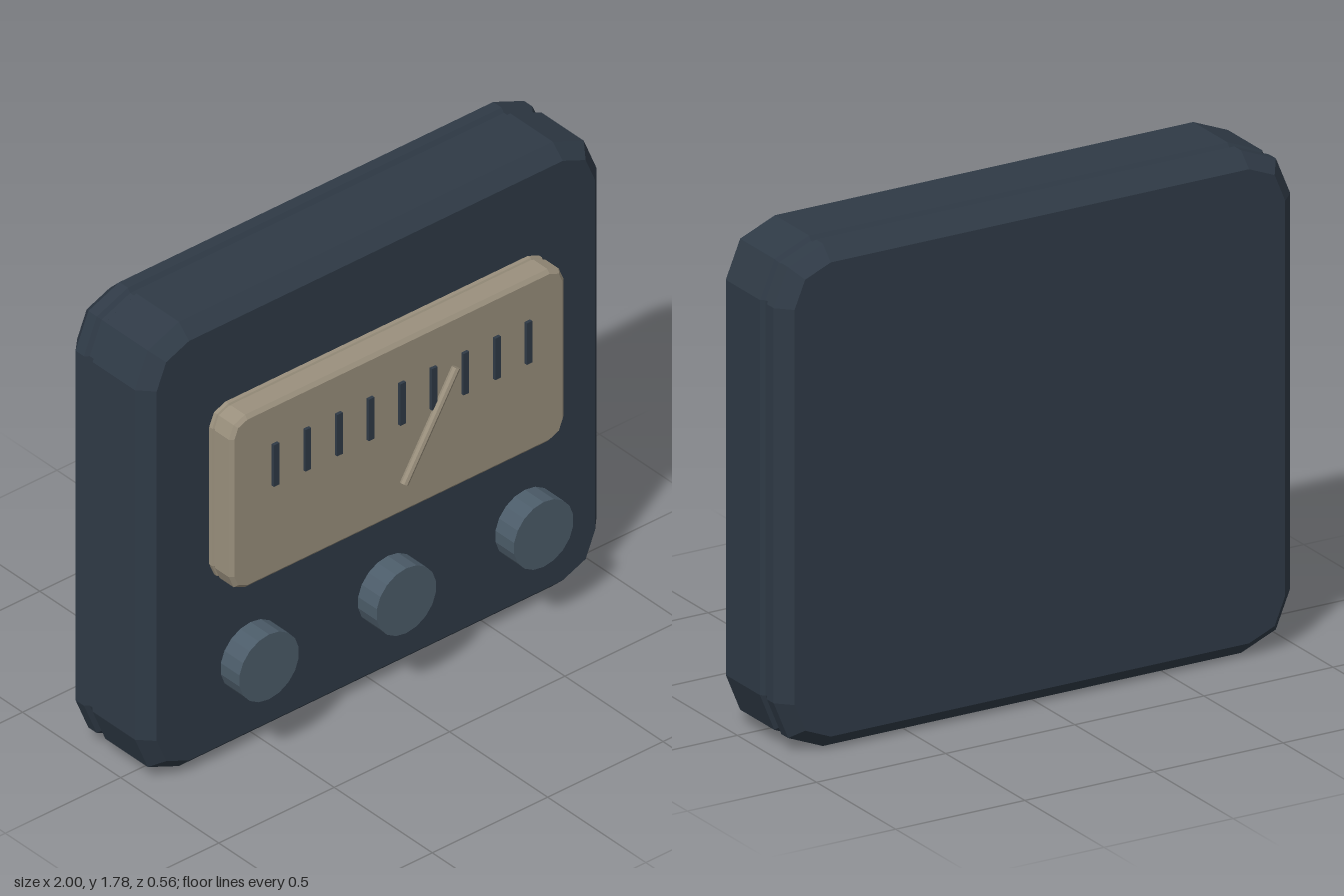
import * as THREE from 'three';

const flat = (name, color) => {
  const m = new THREE.MeshStandardMaterial({ color, flatShading: true });
  m.name = name;
  return m;
};

// Rounded-rectangle ring, counter-clockwise seen from +z
function ring(halfW, halfH, radius, inset, z, segs = 2) {
  const pts = [];
  const signs = [[1, 1], [-1, 1], [-1, -1], [1, -1]];
  signs.forEach(([sx, sy], q) => {
    for (let i = 0; i <= segs; i++) {
      const a = (q + i / segs) * Math.PI / 2;
      const r = radius - inset;
      pts.push([sx * (halfW - radius) + r * Math.cos(a), sy * (halfH - radius) + r * Math.sin(a), z]);
    }
  });
  return pts;
}

// Closed slab lofted through [z, inset] sections running from back to front
function slab(halfW, halfH, radius, sections) {
  const rings = sections.map(([z, inset]) => ring(halfW, halfH, radius, inset, z));
  const pos = [];
  const tri = (a, b, c) => pos.push(...a, ...b, ...c);
  const n = rings[0].length;
  const first = rings[0], last = rings[rings.length - 1];
  const backCentre = [0, 0, first[0][2]], frontCentre = [0, 0, last[0][2]];
  for (let i = 0; i < n; i++) {
    const j = (i + 1) % n;
    for (let k = 0; k < rings.length - 1; k++) {
      const a = rings[k], b = rings[k + 1];
      tri(a[i], a[j], b[j]);
      tri(a[i], b[j], b[i]);
    }
    tri(backCentre, first[j], first[i]);
    tri(frontCentre, last[i], last[j]);
  }
  const geo = new THREE.BufferGeometry();
  geo.setAttribute('position', new THREE.Float32BufferAttribute(pos, 3));
  geo.computeVertexNormals();
  return geo;
}

export function createModel() {
  const model = new THREE.Group();
  model.name = 'dialPanel';
  const slate = flat('darkSlate', 0x2f3a46);
  const beige = flat('beige', 0x9a907d);
  const steel = flat('steelBlue', 0x4c5c69);

  const add = (name, geo, mat, x, y, z) => {
    const mesh = new THREE.Mesh(geo, mat);
    mesh.name = name;
    mesh.position.set(x, y, z);
    model.add(mesh);
    return mesh;
  };

  // Housing with chamfered faces and a seam groove near the back
  add('housing', slab(1, 0.89, 0.19, [
    [-0.28, 0.05], [-0.23, 0], [-0.187, 0], [-0.175, 0.015],
    [-0.155, 0.015], [-0.143, 0], [0.073, 0], [0.125, 0.05],
  ]), slate, 0, 0.89, 0);

  // Raised dial plate with its own thin seam
  add('dialPlate', slab(0.725, 0.345, 0.07, [
    [0.12, 0.012], [0.128, 0], [0.143, 0], [0.147, 0.006],
    [0.153, 0.006], [0.157, 0], [0.228, 0], [0.24, 0.014],
  ]), beige, 0, 1.075, 0);

  // Scale marks
  const markGeo = new THREE.BoxGeometry(0.024, 0.166, 0.012);
  for (let i = -4; i <= 4; i++) add('scaleMark', markGeo, slate, i * 0.137, 1.19, 0.258);

  // Needle
  const needle = add('needle', new THREE.CylinderGeometry(0.015, 0.015, 0.43, 8), beige, 0.114, 1.054, 0.267);
  needle.rotation.z = -0.55;

  // Knobs
  const knobGeo = new THREE.CylinderGeometry(0.13, 0.13, 0.095, 18).rotateX(Math.PI / 2);
  for (const x of [-0.595, 0, 0.595]) add('knob', knobGeo, steel, x, 0.41, 0.2325);

  return model;
}
